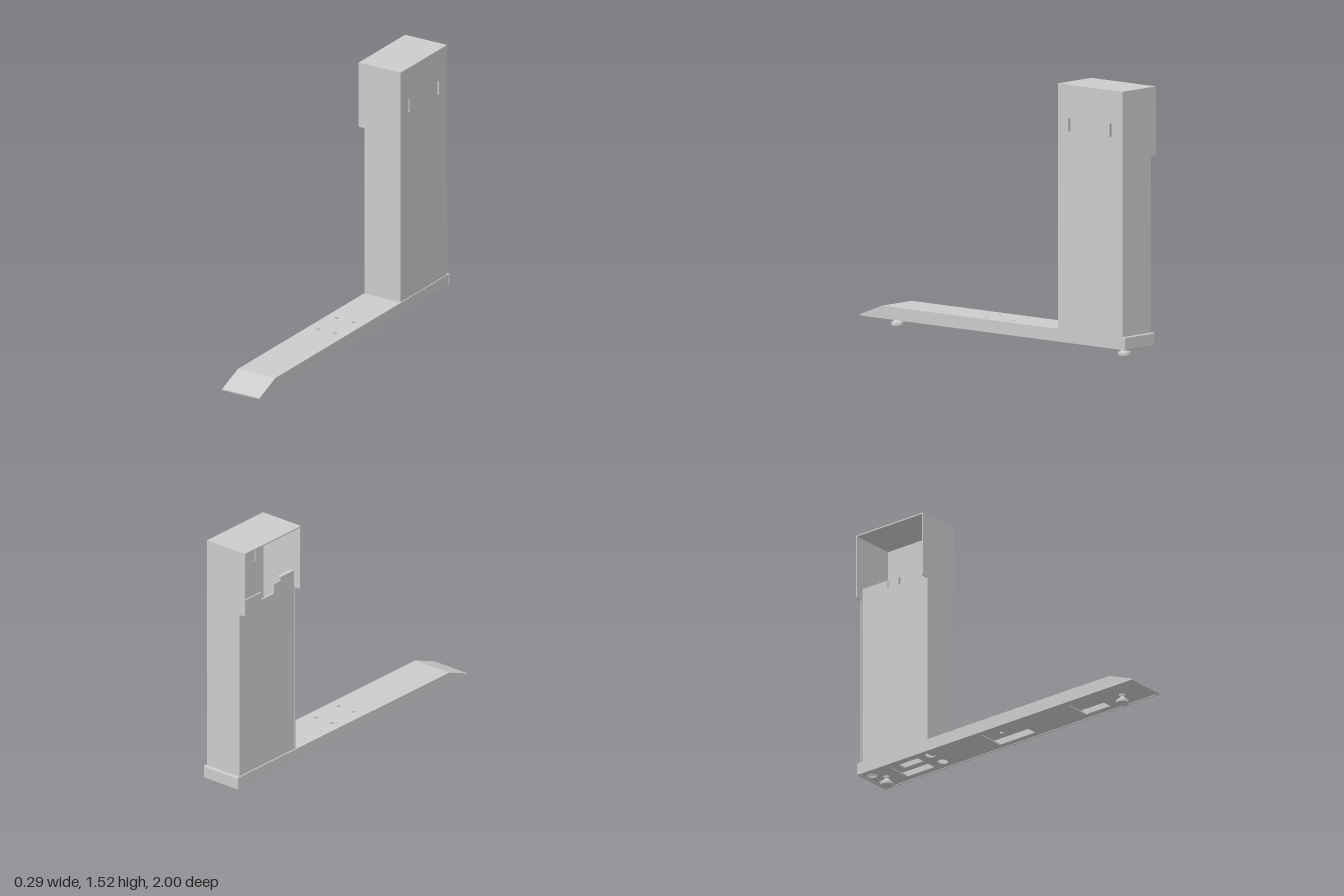
import * as THREE from 'three';
import { RoundedBoxGeometry } from 'three/addons/geometries/RoundedBoxGeometry.js';

const mat = new THREE.MeshStandardMaterial({ color: 0xcccccc, side: THREE.DoubleSide });
const T = 0.008; // sheet thickness

function polygon(points) {
  return new THREE.Shape(points.map(([a, b]) => new THREE.Vector2(a, b)));
}

function rect(a0, b0, a1, b1) {
  return polygon([[a0, b0], [a1, b0], [a1, b1], [a0, b1]]);
}

function circle(a, b, r) {
  return new THREE.Path().absarc(a, b, r, 0, Math.PI * 2, true);
}

function sheet(shape, depth = T) {
  return new THREE.ExtrudeGeometry(shape, { depth, bevelEnabled: false, curveSegments: 10 });
}

// Horizontal sheet from a shape in (x, -z)
function flatSheet(shape, y) {
  return sheet(shape).rotateX(-Math.PI / 2).translate(0, y, 0);
}

// Upright sheet facing sideways from a shape in (-z, y)
function sideSheet(shape, x) {
  return sheet(shape).rotateY(Math.PI / 2).translate(x, 0, 0);
}

export function createModel() {
  const root = new THREE.Group();
  const add = (parent, name, geometry, x = 0, y = 0, z = 0) => {
    const mesh = new THREE.Mesh(geometry, mat);
    mesh.name = name;
    mesh.position.set(x, y, z);
    parent.add(mesh);
  };
  const group = (name) => {
    const g = new THREE.Group();
    g.name = name;
    root.add(g);
    return g;
  };

  // Hollow base beam
  const base = group('base');
  const X0 = -0.11, X1 = 0.14, LOW = 0.053, HIGH = 0.125;

  const top = rect(X0, -0.835, X1, 0.99);
  for (const x of [-0.042, 0.073])
    for (const v of [-0.095, 0.1]) top.holes.push(circle(x, v, 0.012));
  top.holes.push(rect(-0.06, 0.6, 0.09, 0.82));
  add(base, 'baseTop', flatSheet(top, HIGH - T));

  // Underside with access openings
  const bottom = rect(X0 + T, -0.985, X1 - T, 0.985);
  bottom.holes.push(
    rect(-0.06, -0.68, 0.09, -0.5),
    rect(-0.065, -0.13, 0.095, 0.13),
    rect(-0.06, 0.6, 0.09, 0.8));
  for (const x of [-0.045, 0.065])
    for (const v of [0.52, 0.945]) bottom.holes.push(circle(x, v, 0.03));
  add(base, 'baseUnderside', flatSheet(bottom, LOW + 0.004));

  // Side walls and sloping nose
  const wall = polygon([[-0.99, LOW], [0.99, LOW], [0.99, HIGH - T], [-0.835, HIGH - T], [-0.985, LOW + 0.006]]);
  add(base, 'baseWallRight', sideSheet(wall, X0));
  add(base, 'baseWallLeft', sideSheet(wall, X1 - T));

  const nose = polygon([[-0.835, HIGH], [-1, LOW + 0.008], [-1, LOW], [-0.985, LOW], [-0.835, HIGH - T]]);
  add(base, 'baseNose', sheet(nose, X1 - X0).rotateY(Math.PI / 2).translate(X0, 0, 0));
  add(base, 'baseRearLip', new RoundedBoxGeometry(X1 - X0 + 0.004, 0.076, 0.016, 3, 0.006), 0.015, 0.088, -0.992);

  // Column: open-sided sheet housing
  const column = group('column');
  const CX0 = -0.145, CX1 = 0.135, PX = -0.105, FRONT = -0.49, BACK = -0.978, TOP = 1.52, SHOULDER = 1.13;

  // Front and back share an outline that widens at the shoulder
  const face = polygon([
    [PX, HIGH], [CX1, HIGH], [CX1, TOP], [CX0, TOP],
    [CX0, SHOULDER + 0.006], [CX0 + 0.006, SHOULDER], [PX, SHOULDER]]);
  add(column, 'columnFront', sheet(face), 0, 0, FRONT - T);
  add(column, 'columnBack', sheet(face), 0, 0, BACK);

  const outer = rect(-FRONT + T, HIGH, -BACK - T, TOP - T);
  for (const v of [0.575, 0.885]) outer.holes.push(rect(v - 0.008, 1.253, v + 0.008, 1.33));
  add(column, 'columnSlottedSide', sideSheet(outer, CX1 - T));
  add(column, 'columnTop', new THREE.BoxGeometry(CX1 - CX0, T, FRONT - BACK - 2 * T),
    (CX0 + CX1) / 2, TOP - T / 2, (FRONT + BACK) / 2);

  // Inner cover panel with stepped upper edge
  const cover = polygon([
    [0.502, HIGH], [0.966, HIGH], [0.966, 1.2], [0.784, 1.2], [0.784, 1.153], [0.676, 1.153],
    [0.676, 1.212], [0.617, 1.212], [0.617, 1.235], [0.502, 1.235]]);
  add(column, 'columnCover', sideSheet(cover, PX + 0.003));
  add(column, 'coverTab', new THREE.BoxGeometry(0.02, T, 0.115), PX + 0.018, 1.231, -0.5595);

  // Levelling feet
  const profile = [[0, 0], [0.034, 0], [0.036, 0.003], [0.036, 0.018], [0.032, 0.021], [0.022, 0.024],
    [0.02, 0.032], [0.011, 0.033], [0.011, 0.09], [0, 0.09]];
  const footGeometry = new THREE.LatheGeometry(profile.map(([r, y]) => new THREE.Vector2(r, y)), 28);
  footGeometry.computeVertexNormals();
  const nutGeometry = new THREE.CylinderGeometry(0.02, 0.02, 0.01, 6);
  for (const [name, z] of [['frontFoot', 0.83], ['rearFoot', -0.885]]) {
    const foot = group(name);
    foot.position.set(0.015, 0, z);
    add(foot, 'footPad', footGeometry);
    add(foot, 'footNut', nutGeometry, 0, 0.05, 0);
  }
  return root;
}
